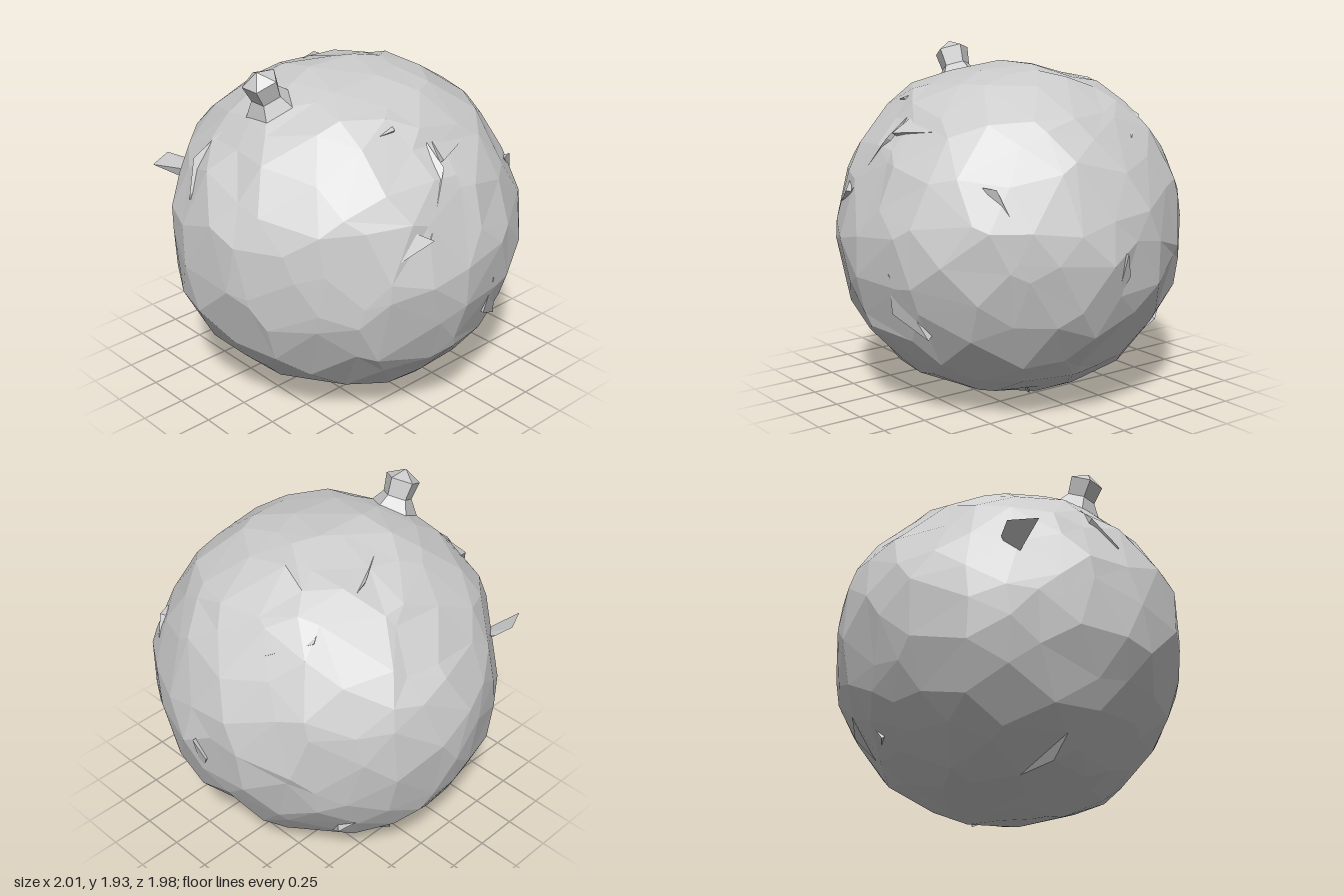
import * as THREE from 'three';
import { mergeVertices } from 'three/addons/utils/BufferGeometryUtils.js';
import { ConvexGeometry } from 'three/addons/geometries/ConvexGeometry.js';

const CENTRE_Y = 0.95;
const V = (p) => new THREE.Vector3(...p);

// Broad swells and dents of the boulder: direction, change of radius
const SWELLS = [
  [[0, 1, 0], -0.065], [[0, -1, 0], -0.04], [[-0.7, 0.65, 0], -0.04],
  [[0, 0.65, 0.7], -0.045], [[0, 0.65, -0.75], -0.05], [[-0.75, 0, 0.65], -0.03],
  [[-0.7, 0.1, -0.65], -0.055], [[0.25, 0, -1], 0.035], [[1, 0, 0], 0.025],
  [[-1, 0.05, 0], 0.055], [[0, -0.45, 0.85], 0.025], [[0, -0.7, -0.7], 0.01],
  [[0.85, 0.45, 0], -0.025], [[0.75, 0, -0.65], -0.025], [[0.65, -0.75, 0], -0.015],
  [[0.35, 0.87, -0.35], -0.025], [[0.35, 0.87, 0.35], -0.01],
  [[-0.35, -0.87, 0.35], -0.02],
].map(([d, r]) => [V(d).normalize(), r]);

function radiusAt(dir) {
  let r = 0.987;
  for (const [d, dr] of SWELLS) r += dr * Math.exp((dir.dot(d) - 1) * 8);
  return r;
}

function makeRandom(seed) {
  return () => {
    seed = (seed * 16807) % 2147483647;
    return seed / 2147483647;
  };
}

// Faceted sphere, pushed along the swells and roughened
function boulderGeometry() {
  let geo = new THREE.IcosahedronGeometry(1, 4);
  geo.deleteAttribute('uv');
  geo.deleteAttribute('normal');
  geo = mergeVertices(geo, 1e-3);
  const rand = makeRandom(4711);
  const jitter = () => (rand() - 0.5) * 0.18;
  const pos = geo.attributes.position;
  const v = new THREE.Vector3();
  for (let i = 0; i < pos.count; i++) {
    v.fromBufferAttribute(pos, i);
    v.x += jitter();
    v.y += jitter();
    v.z += jitter();
    v.normalize();
    v.multiplyScalar(radiusAt(v) + (rand() - 0.5) * 0.03);
    pos.setXYZ(i, v.x, v.y, v.z);
  }
  geo.computeVertexNormals();
  return geo;
}

// Chips lying on the surface: three directions, the last corner is lifted
const CHIPS = [
  [[-0.22, 0.25, 0.92], [-0.02, 0.7, 0.66], [-0.02, 0.54, 0.78]],
  [[0.02, 0.68, 0.65], [0.27, 0.61, 0.68], [0, 0.56, 0.75]],
  [[0.23, -0.12, 0.95], [0.2, -0.34, 0.9], [0.39, -0.45, 0.8]],
  [[-0.43, 0.15, 0.88], [-0.3, 0.3, 0.88], [-0.22, 0.25, 0.93]],
  [[0.76, 0.57, -0.28], [0.48, 0.78, -0.43], [0.58, 0.65, -0.47]],
  [[0.52, -0.7, -0.47], [0.44, -0.41, -0.8], [0.25, -0.65, -0.73]],
  [[0.97, -0.27, 0.02], [0.97, -0.13, -0.05], [0.98, 0, 0]],
  [[0.65, 0.37, 0.66], [0.8, 0.17, 0.56], [0.7, 0.35, 0.6]],
  [[0, 0.9, -0.35], [0.4, 0.76, -0.48], [0.18, 0.84, -0.45]],
  [[-0.9, 0.3, -0.2], [-0.7, 0.65, -0.22], [-0.8, 0.48, -0.29]],
  [[-0.4, 0.7, 0.53], [-0.15, 0.8, 0.53], [-0.18, 0.75, 0.6]],
  [[0.48, -0.74, -0.48], [0.47, -0.4, -0.78], [0.55, -0.55, -0.62]],
  [[0.57, -0.75, 0.33], [0.2, -0.97, 0.08], [0.35, -0.9, 0.12]],
];

function chipGeometry(corners) {
  const dirs = corners.map((c) => V(c).normalize());
  const at = (d, lift) => d.clone().multiplyScalar(radiusAt(d) + lift);
  return new ConvexGeometry([
    at(dirs[0], -0.015), at(dirs[1], -0.015), at(dirs[2], 0.015),
    ...dirs.map((d) => at(d, -0.06)),
  ]);
}

export function createModel() {
  const group = new THREE.Group();
  const stone = new THREE.MeshStandardMaterial({
    color: 0xcccccc, flatShading: true, side: THREE.DoubleSide,
  });
  const add = (name, geo, parent = group) => {
    const mesh = new THREE.Mesh(geo, stone);
    mesh.name = name;
    parent.add(mesh);
    return mesh;
  };

  add('boulder', boulderGeometry()).position.y = CENTRE_Y;

  const chips = new THREE.Group();
  chips.name = 'surfaceChips';
  chips.position.y = CENTRE_Y;
  CHIPS.forEach((c) => add('chip', chipGeometry(c), chips));
  group.add(chips);

  // Flared five-sided stub leaning out of the top
  const profile = [[0.22, 0], [0.17, 0.1], [0.085, 0.22], [0.1, 0.32], [0, 0.375]];
  const stub = add('stub', new THREE.LatheGeometry(
    profile.map((p) => new THREE.Vector2(...p)), 5, Math.PI / 2));
  stub.position.set(-0.435, 1.59, 0);
  stub.rotation.z = 0.42;

  // Small pointed splinter on the back
  add('splinter', new ConvexGeometry([
    [-0.77, 1.24, -0.72], [-0.62, 1.25, -0.79], [-0.54, 1.21, -0.74],
    [-0.61, 1.13, -0.67], [-0.5, 1.15, -0.6],
  ].map(V)));

  return group;
}
